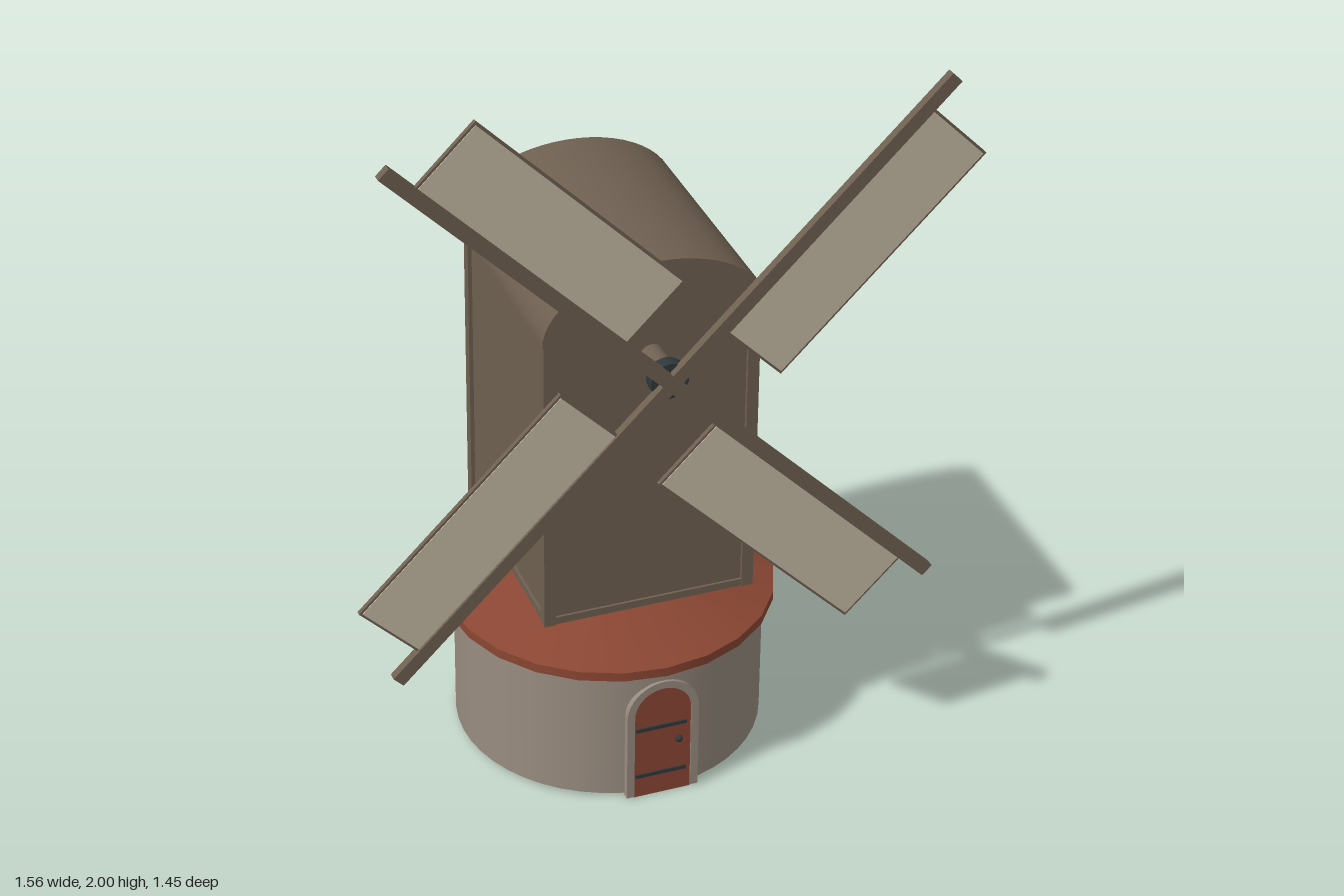
import * as THREE from 'three';

const mat = (name, color) => Object.assign(new THREE.MeshStandardMaterial({ color }), { name });

export function createModel() {
  const wood = mat('weathered wood', 0x6f6051);
  const stone = mat('stone', 0x988c80);
  const red = mat('red paint', 0x8a4633);
  const canvas = mat('sail canvas', 0xc6bca5);
  const iron = mat('dark iron', 0x30383c);
  const glass = mat('window glass', 0x414c50);

  const mill = new THREE.Group();
  mill.name = 'windmill';
  const CZ = 0.2975; // tower axis

  const group = (name, parent = mill) => {
    const g = new THREE.Group();
    g.name = name;
    parent.add(g);
    return g;
  };
  const add = (parent, name, geo, material, x = 0, y = 0, z = 0) => {
    const m = new THREE.Mesh(geo, material);
    m.name = name;
    m.position.set(x, y, z);
    parent.add(m);
    return m;
  };
  const box = (parent, name, material, w, h, d, x, y, z) =>
    add(parent, name, new THREE.BoxGeometry(w, h, d), material, x, y, z);
  const cyl = (parent, name, material, r0, r1, h, x, y, z, n = 24) =>
    add(parent, name, new THREE.CylinderGeometry(r0, r1, h, n), material, x, y, z);
  const beam = (parent, name, material, a, b, w, d) => {
    const dir = new THREE.Vector3().subVectors(b, a);
    const m = box(parent, name, material, w, dir.length(), d, ...a.clone().lerp(b, 0.5).toArray());
    m.quaternion.setFromUnitVectors(new THREE.Vector3(0, 1, 0), dir.normalize());
    return m;
  };

  // Round stone base and its conical skirt roof
  cyl(mill, 'stoneBase', stone, 0.395, 0.395, 0.37, 0, 0.195, CZ + 0.0025, 48);
  cyl(mill, 'skirtRim', red, 0.425, 0.425, 0.025, 0, 0.3925, CZ + 0.0025);
  cyl(mill, 'skirtRoof', red, 0.15, 0.425, 0.102, 0, 0.456, CZ + 0.0025);

  // Arched base door
  const arch = (s, r, y) => s.moveTo(-r, 0).lineTo(r, 0).lineTo(r, y).absarc(0, y, r, 0, Math.PI).lineTo(-r, 0);
  const extrude = (shape, depth) =>
    new THREE.ExtrudeGeometry(shape, { depth, bevelEnabled: false, curveSegments: 16 });
  const baseDoor = group('baseDoor');
  add(baseDoor, 'baseDoorPanel', extrude(arch(new THREE.Shape(), 0.075, 0.25), 0.06), red, 0, 0, 0.638);
  const surround = new THREE.Shape();
  surround.moveTo(0.075, 0.005).lineTo(0.095, 0.005).lineTo(0.095, 0.25).absarc(0, 0.25, 0.095, 0, Math.PI)
    .lineTo(-0.095, 0.005).lineTo(-0.075, 0.005).lineTo(-0.075, 0.25).absarc(0, 0.25, 0.075, Math.PI, 0, true);
  add(baseDoor, 'baseDoorSurround', extrude(surround, 0.06), stone, 0, 0, 0.642);
  for (const y of [0.065, 0.208]) box(baseDoor, 'baseDoorStrap', iron, 0.135, 0.01, 0.006, -0.004, y, 0.699);
  add(baseDoor, 'baseDoorKnob', new THREE.SphereGeometry(0.01, 12, 8), iron, 0.043, 0.158, 0.7);

  // Timber body with corner posts and sills
  const body = group('body');
  box(body, 'bodyWalls', wood, 0.53, 0.815, 0.575, 0, 0.9125, CZ);
  for (const sx of [-1, 1]) {
    for (const sz of [-1, 1])
      box(body, 'cornerPost', wood, 0.03, 0.815, 0.03, sx * 0.26, 0.9125, CZ + sz * 0.2825);
    box(body, 'sideSill', wood, 0.01, 0.02, 0.54, sx * 0.267, 0.515, CZ);
    box(body, 'endSill', wood, 0.5, 0.02, 0.01, 0, 0.515, CZ + sx * 0.289);
  }

  // Barrel roof
  const roofGeo = new THREE.CylinderGeometry(1, 1, 1, 28, 1, false, Math.PI / 2, Math.PI);
  roofGeo.rotateX(Math.PI / 2);
  roofGeo.scale(0.285, 0.18, 0.635);
  add(mill, 'roof', roofGeo, wood, 0, 1.32, CZ);
  box(mill, 'roofSoffit', wood, 0.57, 0.006, 0.635, 0, 1.3225, CZ);

  // Side window
  const win = group('sideWindow');
  box(win, 'windowPane', glass, 0.008, 0.12, 0.1, 0.267, 0.995, CZ);
  for (const s of [-1, 1]) {
    box(win, 'windowJamb', wood, 0.018, 0.145, 0.014, 0.27, 0.9925, CZ + s * 0.053);
    box(win, 'windowRail', wood, 0.018, 0.014, 0.12, 0.27, 0.993 + s * 0.065, CZ);
  }
  box(win, 'windowMullion', wood, 0.014, 0.13, 0.008, 0.268, 0.995, CZ);
  box(win, 'windowTransom', wood, 0.014, 0.008, 0.1, 0.268, 1.0, CZ);
  box(win, 'windowLedge', wood, 0.03, 0.014, 0.136, 0.273, 0.922, CZ);

  // Rear door
  const rear = group('rearDoor');
  box(rear, 'rearDoorPanel', red, 0.15, 0.31, 0.01, 0, 0.68, 0.006);
  for (const s of [-1, 1]) box(rear, 'rearDoorJamb', wood, 0.018, 0.33, 0.02, s * 0.084, 0.69, 0.006);
  box(rear, 'rearDoorLintel', wood, 0.186, 0.018, 0.02, 0, 0.846, 0.006);
  for (const y of [0.6, 0.76]) box(rear, 'rearDoorStrap', iron, 0.13, 0.01, 0.006, 0.005, y, 0.001);
  add(rear, 'rearDoorKnob', new THREE.SphereGeometry(0.01, 12, 8), iron, -0.05, 0.68, -0.002);

  // Tail pole and ladder
  const V = (x, y, z) => new THREE.Vector3(x, y, z);
  beam(mill, 'tailPole', wood, V(0, 0.53, 0.02), V(0, 0.077, -0.716), 0.03, 0.03);
  const ladder = group('ladder');
  for (const s of [-1, 1])
    beam(ladder, 'ladderRail', wood, V(s * 0.072, 0.515, 0.005), V(s * 0.072, 0.015, -0.472), 0.016, 0.018);
  for (let i = 0; i < 9; i++) {
    const z = -0.428 + i * 0.05;
    box(ladder, 'ladderTread', wood, 0.135, 0.01, 0.036, 0, 0.51 + z * 1.048, z);
  }

  // Wind shaft and hub
  const HUB = 1.225;
  cyl(mill, 'windShaft', wood, 0.032, 0.032, 0.12, 0, HUB, 0.63).rotation.x = Math.PI / 2;
  cyl(mill, 'hub', iron, 0.048, 0.048, 0.034, 0, HUB, 0.691).rotation.x = Math.PI / 2;

  // Four sails: each arm points up locally, its lattice on the clockwise side
  const sails = group('sails');
  sails.position.set(0, HUB, 0.716);
  const y0 = 0.175, y1 = 0.886, x0 = 0.013, x1 = 0.216, t = 0.01;
  const xm = (x0 + x1) / 2, ym = (y0 + y1) / 2;
  for (let k = 0; k < 4; k++) {
    const arm = group('sail', sails);
    arm.rotation.z = Math.PI / 4 + (k * Math.PI) / 2;
    box(arm, 'stock', wood, 0.035, 0.975, 0.022, 0, 0.4875, 0);
    for (const x of [x0 + t / 2, xm, x1 - t / 2])
      box(arm, 'latticeUpright', wood, t, y1 - y0, 0.012, x, ym, -0.002);
    for (let i = 0; i <= 8; i++)
      box(arm, 'latticeBar', wood, x1 - x0, t, 0.012, xm, y0 + t / 2 + (i * (y1 - y0 - t)) / 8, -0.002);
    box(arm, 'sailCloth', canvas, x1 - x0 - 0.012, y1 - y0 - 0.012, 0.004, xm, ym, 0.004);
  }
  return mill;
}
